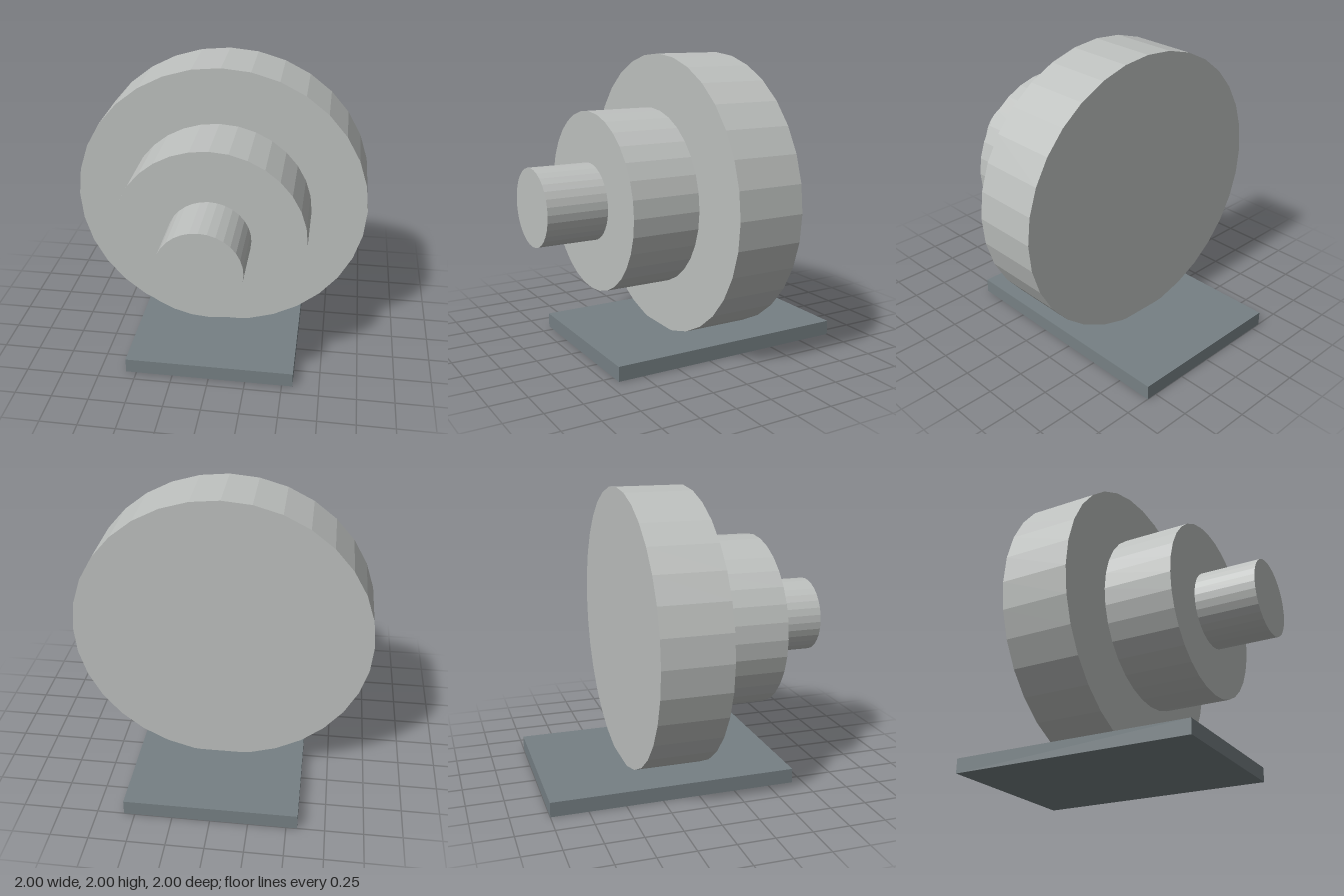
import * as THREE from 'three';

export function createModel() {
  const group = new THREE.Group();
  const lightMetal = new THREE.MeshStandardMaterial({ name: 'lightMetal', color: 0xbdc0be, flatShading: true });
  const slate = new THREE.MeshStandardMaterial({ name: 'slate', color: 0x768084, flatShading: true });

  const axisY = 1.043; // height of the shared axis
  const squash = 0.957; // the drums are slightly lower than wide

  // Faceted drum lying along z, slightly elliptical
  function drum(name, radius, zBack, zFront) {
    const geometry = new THREE.CylinderGeometry(radius, radius, zFront - zBack, 32);
    geometry.rotateX(Math.PI / 2);
    geometry.scale(1, squash, 1);
    const mesh = new THREE.Mesh(geometry, lightMetal);
    mesh.name = name;
    mesh.position.set(0, axisY, (zBack + zFront) / 2);
    group.add(mesh);
  }

  drum('largeDisc', 1, -0.394, 0.07);
  drum('middleDisc', 0.625, 0.124, 0.588);
  drum('shaft', 0.27, 0.588, 1);

  // Flat base plate
  const base = new THREE.Mesh(new THREE.BoxGeometry(1.144, 0.1, 1.676), slate);
  base.name = 'basePlate';
  base.position.set(0, 0.05, -0.162);
  group.add(base);

  return group;
}
